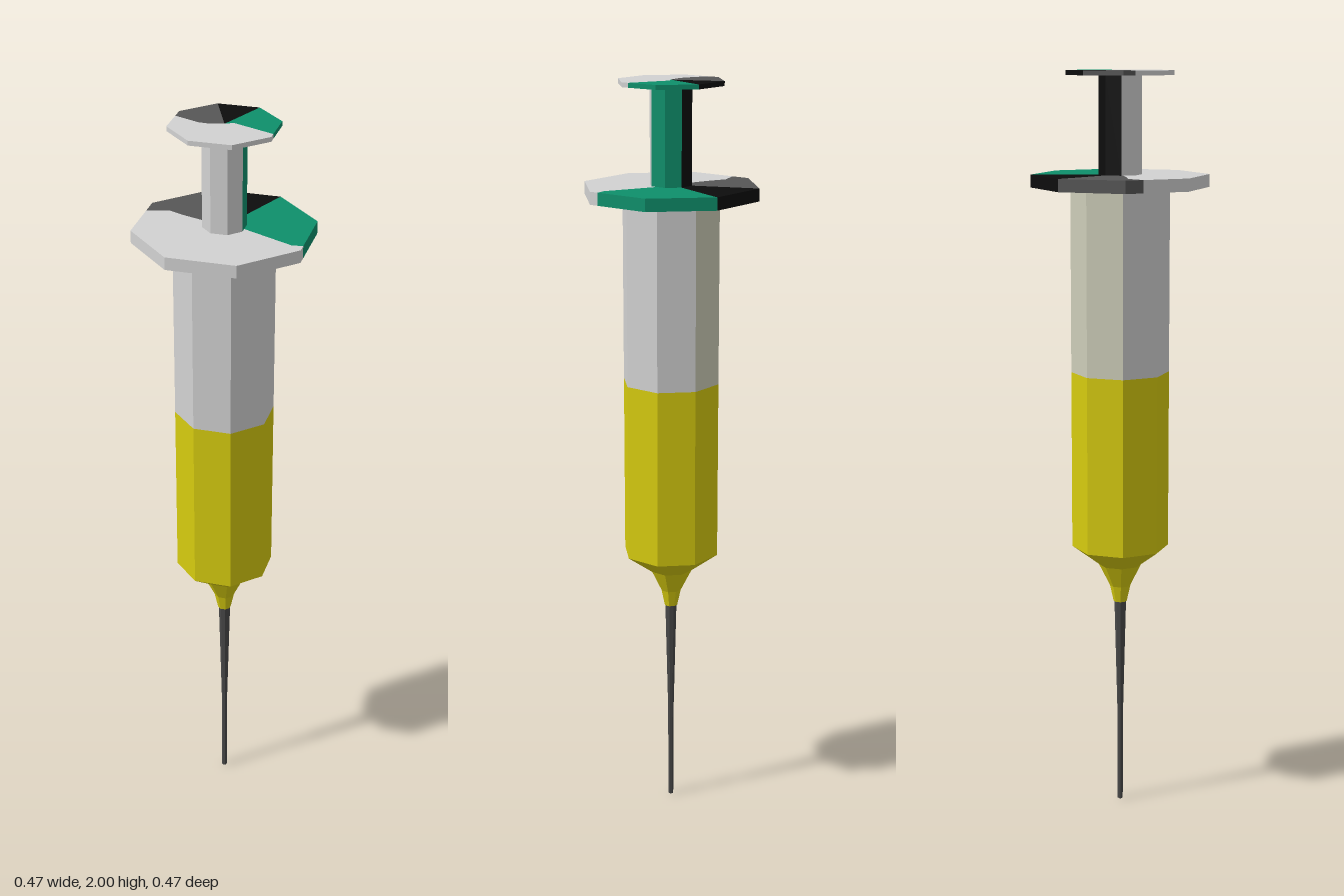
import * as THREE from 'three';

const mat = (name, color) => new THREE.MeshStandardMaterial({ name, color, flatShading: true });

export function createModel() {
  const light = mat('lightGrey', 0xd2d2d2);
  const beige = mat('beigeGrey', 0xcdcdb8);
  const yellow = mat('yellowLiquid', 0xd6cb0f);
  const green = mat('green', 0x0e8f6b);
  const dark = mat('darkGrey', 0x575757);
  const black = mat('black', 0x0d0d0d);
  const steel = mat('needleSteel', 0x484848);

  const model = new THREE.Group();
  model.name = 'syringe';

  // Eight-sided turned part; from and count are in eighths of a turn
  const turned = (name, material, profile, from = 0, count = 8) => {
    const points = profile.map(([r, y]) => new THREE.Vector2(r, y));
    const geometry = new THREE.LatheGeometry(points, count, from * Math.PI / 4, count * Math.PI / 4);
    const mesh = new THREE.Mesh(geometry, material);
    mesh.name = name;
    model.add(mesh);
  };

  // Octagonal plate divided into four coloured fields.
  // greenEdge and darkEdge run from the rim inwards, as [x, z] for radius 1.
  const plate = (name, r, y0, y1, greenEdge, darkEdge) => {
    const d = Math.SQRT1_2;
    const group = new THREE.Group();
    group.name = name;
    const fields = [
      ['greenField', green, [[0, 0], [0, -1], [d, -d], ...greenEdge]],
      ['blackField', black, [[0, 0], [-d, -d], [0, -1]]],
      ['darkField', dark, [[0, 0], [-d, -d], [-1, 0], ...darkEdge]],
      ['lightField', light, [[0, 0], ...[...greenEdge].reverse(), [1, 0], [d, d], [0, 1], [-d, d], ...darkEdge]],
    ];
    for (const [field, material, corners] of fields) {
      const shape = new THREE.Shape(corners.map(([x, z]) => new THREE.Vector2(x * r, -z * r)));
      const geometry = new THREE.ExtrudeGeometry(shape, { depth: y1 - y0, bevelEnabled: false });
      geometry.rotateX(-Math.PI / 2).translate(0, y0, 0);
      const mesh = new THREE.Mesh(geometry, material);
      mesh.name = field;
      group.add(mesh);
    }
    model.add(group);
  };

  // Needle and nozzle
  turned('needle', steel, [[0, 0], [0.007, 0.004], [0.008, 0.27], [0.012, 0.43], [0.016, 0.585]]);
  turned('nozzle', yellow, [[0, 0.58], [0.018, 0.58], [0.028, 0.625], [0.058, 0.685], [0.13, 0.737]]);

  // Barrel: filled half below, empty half above with a tinted rear quarter
  turned('filledBarrel', yellow, [[0.13, 0.737], [0.13, 1.215]]);
  turned('emptyBarrel', light, [[0.13, 1.215], [0.13, 1.702]], 6, 6);
  turned('emptyBarrelRear', beige, [[0.13, 1.215], [0.13, 1.702]], 4, 2);

  // Finger flange
  plate('fingerFlange', 0.233, 1.702, 1.735,
    [[0.959, -0.1], [0.85, -0.04], [0.1, -0.07]],
    [[-0.917, 0.2], [-0.73, 0.045], [-0.5, 0.045]]);

  // Plunger rod
  const rod = [[0.056, 1.735], [0.056, 1.99]];
  turned('plungerRod', light, rod, 6, 4);
  turned('plungerRodGreen', green, rod, 2, 2);
  turned('plungerRodBlack', black, rod, 4, 2);

  // Thumb rest
  plate('thumbRest', 0.14, 1.988, 2,
    [[0.946, -0.13], [0.1, -0.13]],
    [[-0.909, 0.22], [-0.4, 0.22], [-0.2, 0.15]]);

  return model;
}
